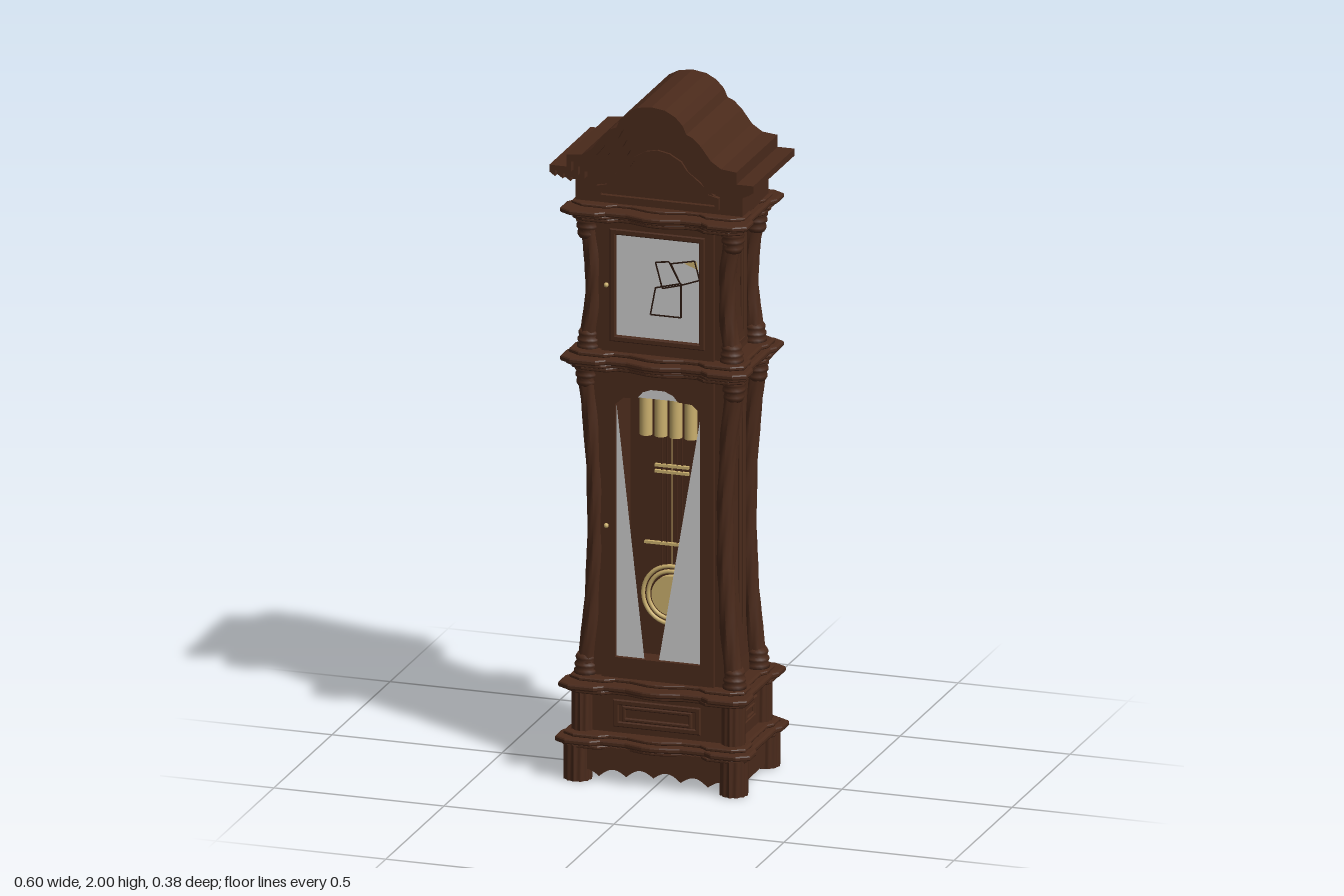
import * as THREE from 'three';

const wood = new THREE.MeshStandardMaterial({ color: 0x4a2a1b, side: THREE.DoubleSide });
const brass = new THREE.MeshStandardMaterial({ color: 0xcbb06e });
const pane = new THREE.MeshStandardMaterial({ color: 0xcccccc, side: THREE.DoubleSide });
const dark = new THREE.MeshStandardMaterial({ color: 0x2a1810 });

export function createModel() {
  const root = new THREE.Group();
  const V = (p) => new THREE.Vector2(p[0], p[1]);
  const poly = (pts) => new THREE.Shape(pts.map(V));
  const mirrorX = (pts) => [...pts, ...pts.slice().reverse().map(([x, y]) => [-x, y])];
  const rect = (w, h) => [[-w, -h], [w, -h], [w, h], [-w, h]];

  function add(name, geo, mat = wood, x = 0, y = 0, z = 0) {
    const m = new THREE.Mesh(geo, mat);
    m.name = name;
    m.position.set(x, y, z);
    root.add(m);
    return m;
  }
  // Box given by its low and high limits
  const box = (name, x0, x1, y0, y1, z0, z1, mat) => add(name,
    new THREE.BoxGeometry(x1 - x0, y1 - y0, z1 - z0), mat, (x0 + x1) / 2, (y0 + y1) / 2, (z0 + z1) / 2);
  // Outline in x/y pushed from z0 to z1
  function slab(name, pts, z0, z1, holes = [], mat = wood) {
    const s = poly(pts);
    holes.forEach((h) => s.holes.push(new THREE.Path(h.map(V))));
    return add(name, new THREE.ExtrudeGeometry(s, { depth: z1 - z0, bevelEnabled: false }), mat, 0, 0, z0);
  }
  // Bevelled rectangular moulding, half size w x h
  function trim(name, w, h, t) {
    const s = poly(rect(w, h));
    s.holes.push(new THREE.Path(rect(w - t, h - t).map(V)));
    const b = 0.003;
    return add(name, new THREE.ExtrudeGeometry(s, { depth: 0.003, bevelSize: b, bevelThickness: b, bevelSegments: 1 }));
  }

  // Shaped ledge: bumps at the corners and at the middle
  function plate(y, w, d, h) {
    w -= 0.007; d -= 0.007;
    const q = [[0, d], [0.025, d - 0.002], [0.05, d - 0.009], [0.08, d - 0.018], [w - 0.125, d - 0.018], [w - 0.1, d],
      [w - 0.03, d], [w, d - 0.018], [w, d - 0.07], [w - 0.012, d - 0.09], [w - 0.012, 0]];
    const half = [...q, ...q.slice(0, -1).reverse().map(([x, z]) => [x, -z])];
    const geo = new THREE.ExtrudeGeometry(poly(mirrorX(half)), {
      depth: h * 0.4, bevelThickness: h * 0.3, bevelSize: 0.007, bevelSegments: 2 });
    geo.rotateX(-Math.PI / 2);
    add('ledge', geo, wood, 0, y + h * 0.3, 0);
  }
  const ledges = [
    [0.098, 0.27, 0.175, 0.012], [0.11, 0.287, 0.19, 0.018], [0.128, 0.268, 0.172, 0.012],
    [0.255, 0.262, 0.165, 0.014], [0.269, 0.278, 0.187, 0.018], [0.287, 0.257, 0.15, 0.012],
    [1.197, 0.252, 0.15, 0.014], [1.211, 0.263, 0.165, 0.012], [1.223, 0.274, 0.182, 0.018], [1.241, 0.258, 0.155, 0.014],
    [1.632, 0.25, 0.145, 0.014], [1.646, 0.26, 0.16, 0.012], [1.658, 0.275, 0.182, 0.016], [1.674, 0.255, 0.14, 0.01]];
  ledges.forEach((l) => plate(...l));

  // Fluted post, optionally curved inward at mid height
  function post(name, x, z, y0, y1, r, { flutes = 10, bend = 0, twist = 0, thin = 0 } = {}) {
    const h = y1 - y0, g = new THREE.CylinderGeometry(1, 1, h, flutes * 4, bend ? 28 : 1);
    const p = g.attributes.position;
    for (let i = 0; i < p.count; i++) {
      const px = p.getX(i), pz = p.getZ(i), t = p.getY(i) / h * 2;
      const k = r * (1 - thin * (1 - t * t)) * (0.94 + 0.06 * Math.cos(flutes * Math.atan2(pz, px) + twist * t));
      p.setXYZ(i, px * k - Math.sign(x) * bend * (1 - t * t), p.getY(i), pz * k);
    }
    g.computeVertexNormals();
    add(name, g, wood, x, (y0 + y1) / 2, z);
  }
  // Turned base or capital; flip gives the capital
  function turned(name, x, z, y, r, h, flip) {
    const prof = [[0, 0], [1.12, 0], [1.12, 0.2], [0.95, 0.27], [1.08, 0.4], [1.08, 0.5], [0.88, 0.6], [0.98, 0.75], [0.98, 0.85], [0.8, 1], [0, 1]];
    const pts = prof.map(([a, b]) => new THREE.Vector2(a * r, (flip ? 1 - b : b) * h));
    add(name, new THREE.LatheGeometry(flip ? pts.reverse() : pts, 20), wood, x, y, z);
  }
  for (const sx of [-1, 1]) for (const sz of [-1, 1]) {
    post('foot', sx * 0.229, sz * 0.138, 0, 0.105, 0.041, { flutes: 12 });
    post('basePost', sx * 0.22, sz * 0.116, 0.13, 0.265, 0.034, { flutes: 12 });
    post('lowerColumn', sx * 0.216, sz * 0.1, 0.33, 1.17, 0.028, { flutes: 6, bend: 0.026, twist: 14, thin: 0.12 });
    turned('columnBase', sx * 0.218, sz * 0.1, 0.297, 0.03, 0.06, false);
    turned('columnCapital', sx * 0.216, sz * 0.1, 1.14, 0.03, 0.06, true);
    post('upperColumn', sx * 0.21, sz * 0.1, 1.29, 1.6, 0.028, { flutes: 6, bend: 0.014, twist: 7, thin: 0.12 });
    turned('columnBase', sx * 0.21, sz * 0.1, 1.252, 0.03, 0.055, false);
    turned('columnCapital', sx * 0.213, sz * 0.1, 1.575, 0.03, 0.06, true);
  }

  // Skirts with scalloped lower edge, front and back
  const skirt = [[-0.225, 0.105], [-0.225, 0.015]];
  for (let i = 0; i <= 60; i++) {
    const x = -0.2 + i / 150;
    skirt.push([x, 0.016 + 0.02 * Math.abs(Math.sin(x * Math.PI / 0.08)) + 0.012 * (1 - Math.abs(x) / 0.2)]);
  }
  skirt.push([0.225, 0.015], [0.225, 0.105]);
  slab('frontSkirt', skirt, 0.145, 0.16);
  slab('backSkirt', skirt, -0.16, -0.145);

  // Pedestal
  box('pedestal', -0.225, 0.225, 0.125, 0.27, -0.125, 0.125);
  trim('pedestalFrontPanel', 0.125, 0.037, 0.01).position.set(0, 0.198, 0.127);
  trim('pedestalFrontPanel', 0.1, 0.02, 0.005).position.set(0, 0.198, 0.126);

  // Concave cabinet outline between two heights
  function curve(y0, y1, a, b) {
    const pts = [];
    for (let i = 0; i <= 16; i++) {
      const t = i / 8 - 1;
      pts.push([b + (a - b) * t * t, y0 + (y1 - y0) * i / 16]);
    }
    return pts;
  }
  const stages = [[0.29, 1.205, 0.205, 0.18], [1.25, 1.64, 0.2, 0.188]];
  for (const [y0, y1, a, b] of stages) {
    const c = curve(y0, y1, a, b);
    slab('backPanel', mirrorX(c), -0.122, -0.11);
    for (const s of [-1, 1])
      slab('sidePanel', [...c, [0.16, y1], [0.16, y0]].map(([x, y]) => [s * x, y]), -0.11, 0.112);
  }
  for (const s of [-1, 1]) {
    box('sideSkirt', s * 0.232 - 0.007, s * 0.232 + 0.007, 0.015, 0.105, -0.12, 0.12);
    const side = (w, h, t, x, y) => {
      const m = trim('sideMoulding', w, h, t);
      m.rotation.y = s * Math.PI / 2;
      m.position.set(s * x, y, 0);
    };
    side(0.055, 0.03, 0.01, 0.226, 0.198);
    side(0.035, 0.014, 0.004, 0.226, 0.198);
    side(0.065, 0.435, 0.014, 0.19, 0.745);
    side(0.042, 0.41, 0.008, 0.185, 0.745);
    side(0.065, 0.18, 0.014, 0.192, 1.445);
    side(0.045, 0.155, 0.006, 0.189, 1.445);
  }

  // Long door with arched window
  const arch = [[0.125, 0.36], [0.125, 1.1], [0.1, 1.122], [0.06, 1.125], [0.045, 1.143], [0.02, 1.153]];
  const door = (y0, y1) => [[-0.165, y0], [0.165, y0], [0.165, y1], [-0.165, y1]];
  slab('lowerDoor', door(0.3, 1.2), 0.108, 0.125, [mirrorX(arch)]);
  // Panes either side of the open wedge, and above it
  const glass = (pts) => add('doorGlass', new THREE.ShapeGeometry(poly(pts)), pane, 0, 0, 0.112);
  glass([[-0.125, 0.36], [-0.043, 0.36], [-0.125, 1.1]]);
  glass([[0, 0.36], [0.125, 0.36], [0.125, 1.1]]);
  glass(mirrorX([[0.08, 1.123], [0.06, 1.125], [0.045, 1.143], [0.02, 1.153]]));

  // Upper door and dial pane
  const window2 = [[-0.125, 1.3], [0.125, 1.3], [0.125, 1.6], [-0.125, 1.6]];
  slab('upperDoor', door(1.25, 1.64), 0.108, 0.125, [window2]);
  add('dialPane', new THREE.ShapeGeometry(poly(window2)), pane, 0, 0, 0.112);
  trim('doorMoulding', 0.137, 0.162, 0.011).position.set(0, 1.45, 0.124);
  // Thin angular lines and a brass tip on the dial
  const loops = [[[-0.01, 1.45], [0.065, 1.47], [0.065, 1.37], [-0.025, 1.37]],
    [[-0.01, 1.525], [0.03, 1.53], [0.065, 1.465], [0.01, 1.45]],
    [[0.035, 1.525], [0.105, 1.54], [0.12, 1.485], [0.065, 1.465]]];
  for (const l of loops) l.forEach((p, i) => {
    const q = l[(i + 1) % l.length], dx = q[0] - p[0], dy = q[1] - p[1];
    add('dialLine', new THREE.BoxGeometry(Math.hypot(dx, dy), 0.004, 0.002), dark,
      (p[0] + q[0]) / 2, (p[1] + q[1]) / 2, 0.113).rotation.z = Math.atan2(dy, dx);
  });
  slab('dialTip', [[0.075, 1.53], [0.115, 1.515], [0.11, 1.54]], 0.112, 0.114, [], brass);
  for (const y of [0.745, 1.45])
    add('doorKnob', new THREE.SphereGeometry(0.007, 12, 8), brass, -0.148, y, 0.133);

  // Weights and pendulum
  for (const x of [-0.066, -0.022, 0.022, 0.066]) {
    add('weight', new THREE.CylinderGeometry(0.018, 0.018, 0.14, 20), brass, x, 1.06, 0.03);
    add('weightCable', new THREE.CylinderGeometry(0.002, 0.002, 0.1, 6), brass, x, 1.17, 0.03);
  }
  for (const x of [-0.03, -0.015, 0, 0.015, 0.03])
    add('pendulumRod', new THREE.CylinderGeometry(0.002, 0.002, 0.55, 6), x ? wood : brass, x, 0.87, 0);
  for (const [y, w] of [[0.875, 0.05], [0.893, 0.05], [0.665, 0.08]])
    box('pendulumBar', -w, w, y - 0.004, y + 0.004, -0.005, 0.005, brass);
  const bob = add('pendulumBob', new THREE.CylinderGeometry(0.058, 0.058, 0.016, 36), brass, 0, 0.515, 0);
  bob.rotation.x = Math.PI / 2;
  for (const r of [0.07, 0.085]) add('bobRing', new THREE.TorusGeometry(r, 0.006, 8, 40), brass, 0, 0.515, 0);

  // Hood: frieze, stepped arched cornice and roof
  box('frieze', -0.245, 0.245, 1.68, 1.76, -0.115, 0.112);
  const roof = [[0.3, 1.78], [0.3, 1.8], [0.25, 1.8], [0.25, 1.835], [0.205, 1.84], [0.175, 1.86], [0.145, 1.9], [0.122, 1.922],
    [0.103, 1.93], [0.092, 1.955], [0.07, 1.978], [0.04, 1.994], [0, 2]];
  const step = (k) => roof.map(([x, y]) => [x * (1 - 0.055 * k), 1.79 + (y - 1.79) * (1 - 0.13 * k) - 0.013 * k]);
  const whole = (k) => mirrorX(step(k)).filter((p, i) => i !== roof.length);
  const depths = [0.178, 0.158, 0.14];
  depths.forEach((z, k) => slab('archedCornice', [...whole(k), ...whole(k + 1).reverse()], -z, z));
  slab('hoodCore', whole(3), -0.112, 0.118);
  slab('hoodBack', whole(1), -0.174, -0.15);
  // Raised moulding on the hood front
  const crest = [[0.18, 1.7], [0.18, 1.735], [0.15, 1.742], [0.125, 1.775], [0.09, 1.8], [0.07, 1.83], [0.035, 1.85], [0, 1.857]];
  const full = (pts) => mirrorX(pts).filter((p, i) => i !== pts.length);
  const inner = crest.map(([x, y]) => [x * 0.93, 1.71 + (y - 1.7) * 0.87]);
  slab('hoodMoulding', full(crest), 0.11, 0.126, [full(inner)]);
  return root;
}
